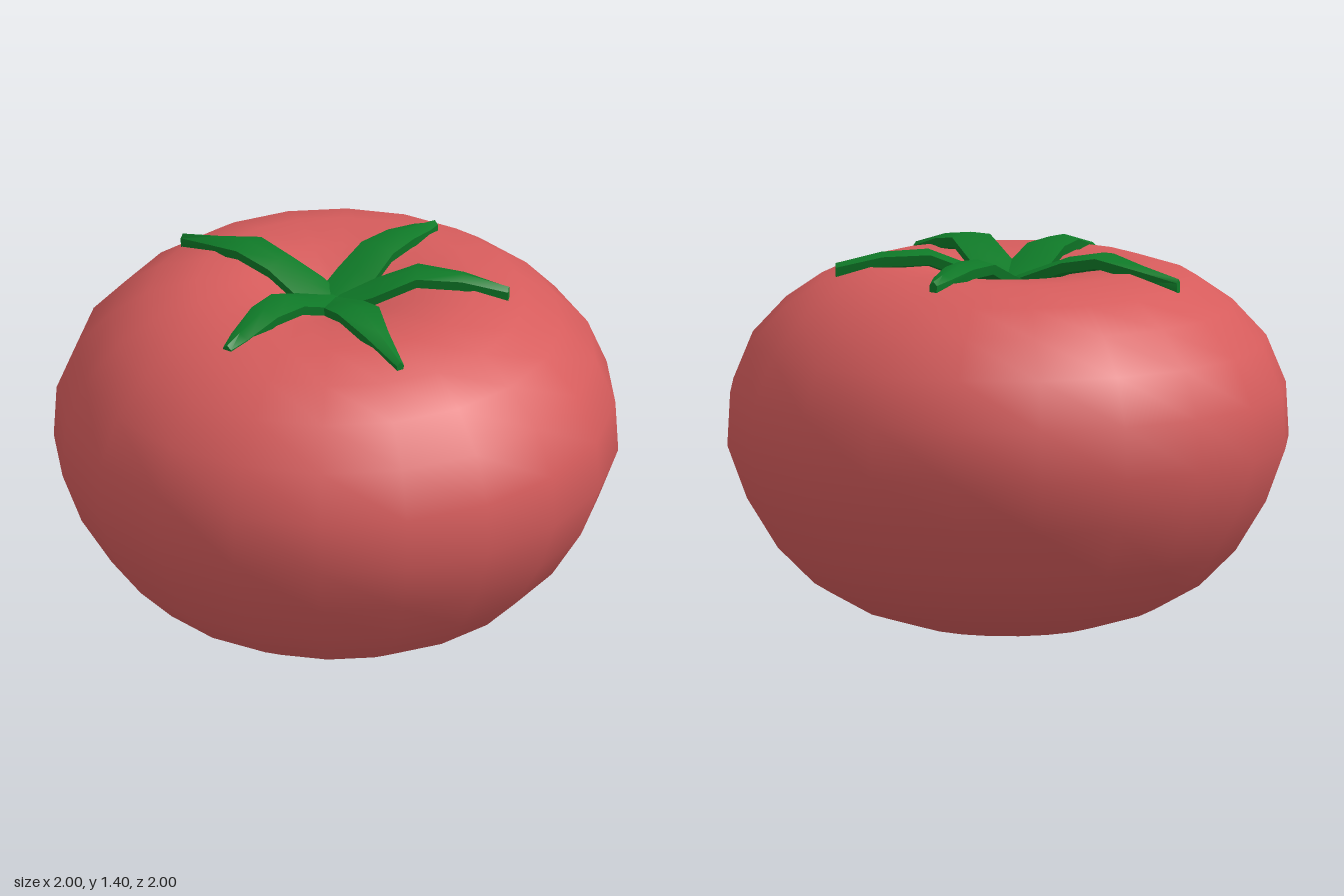
import * as THREE from 'three';
import { toCreasedNormals } from 'three/addons/utils/BufferGeometryUtils.js';

const red = new THREE.MeshStandardMaterial({ color: 0xd65c5c });
red.name = 'tomatoRed';
const green = new THREE.MeshStandardMaterial({ color: 0x0f7a28 });
green.name = 'leafGreen';

// Sepal swept from cross-sections; each row is [x, z, top height, half width]
function sepalGeometry(rows) {
  const rings = rows.map(([x, z, y, w], i) => {
    const a = rows[Math.max(i - 1, 0)], b = rows[Math.min(i + 1, rows.length - 1)];
    const len = Math.hypot(b[0] - a[0], b[1] - a[1]);
    const dx = (b[0] - a[0]) / len, dz = (b[1] - a[1]) / len;
    const at = (side, h) => [x + dz * side * w, y + h, z - dx * side * w];
    return [at(1, -0.014), at(0, 0), at(-1, -0.014), at(-0.9, -0.05), at(0, -0.062), at(0.9, -0.05)];
  });
  const n = rings[0].length, pos = [];
  const tri = (...pts) => pts.forEach((p) => pos.push(...p));
  for (let i = 0; i < rings.length - 1; i++) {
    for (let j = 0; j < n; j++) {
      const k = (j + 1) % n;
      const a = rings[i][j], b = rings[i][k], c = rings[i + 1][j], d = rings[i + 1][k];
      tri(a, b, c);
      tri(b, d, c);
    }
  }
  // Close the tip
  const tip = rings[rings.length - 1];
  for (let j = 1; j < n - 1; j++) tri(tip[0], tip[j], tip[j + 1]);
  const geo = new THREE.BufferGeometry();
  geo.setAttribute('position', new THREE.Float32BufferAttribute(pos, 3));
  return toCreasedNormals(geo, 0.75);
}

export function createModel() {
  const model = new THREE.Group();
  model.name = 'tomato';

  // Squat fruit with a dimple on top
  const profile = [
    [0, 0], [0.33, 0.05], [0.53, 0.11], [0.69, 0.2], [0.82, 0.33], [0.93, 0.51],
    [1, 0.7], [0.99, 0.89], [0.92, 1.06], [0.8, 1.19], [0.67, 1.28], [0.5, 1.335],
    [0.31, 1.325], [0.16, 1.27], [0, 1.22],
  ].map(([r, y]) => new THREE.Vector2(r, y));
  const fruit = new THREE.Mesh(new THREE.LatheGeometry(profile, 20), red);
  fruit.name = 'fruit';
  model.add(fruit);

  // Star of five arched sepals
  const sepals = {
    backSepal: [[-0.01, 0.02, 1.28, 0.07], [-0.015, -0.13, 1.33, 0.08], [-0.015, -0.25, 1.385, 0.072],
      [-0.015, -0.38, 1.385, 0.058], [-0.015, -0.5, 1.365, 0.038], [-0.015, -0.57, 1.35, 0.015]],
    frontSepal: [[-0.01, -0.02, 1.28, 0.07], [-0.015, 0.13, 1.33, 0.082], [-0.015, 0.25, 1.38, 0.075],
      [-0.015, 0.38, 1.385, 0.06], [-0.015, 0.52, 1.345, 0.038], [-0.015, 0.59, 1.325, 0.018]],
    rightSepal: [[0, 0.02, 1.28, 0.07], [-0.1, 0.03, 1.32, 0.083], [-0.23, 0.035, 1.37, 0.066],
      [-0.37, 0.035, 1.397, 0.07], [-0.53, 0.037, 1.36, 0.04], [-0.67, 0.037, 1.325, 0.012]],
    leftBackSepal: [[-0.01, 0, 1.28, 0.07], [0.1, -0.08, 1.33, 0.072], [0.22, -0.185, 1.395, 0.062],
      [0.36, -0.27, 1.385, 0.04], [0.5, -0.355, 1.345, 0.02]],
    leftFrontSepal: [[-0.01, 0, 1.28, 0.07], [0.1, 0.075, 1.33, 0.08], [0.25, 0.18, 1.4, 0.078],
      [0.39, 0.245, 1.375, 0.045], [0.54, 0.3, 1.325, 0.014]],
  };
  for (const [name, rows] of Object.entries(sepals)) {
    const sepal = new THREE.Mesh(sepalGeometry(rows), green);
    sepal.name = name;
    model.add(sepal);
  }
  return model;
}
